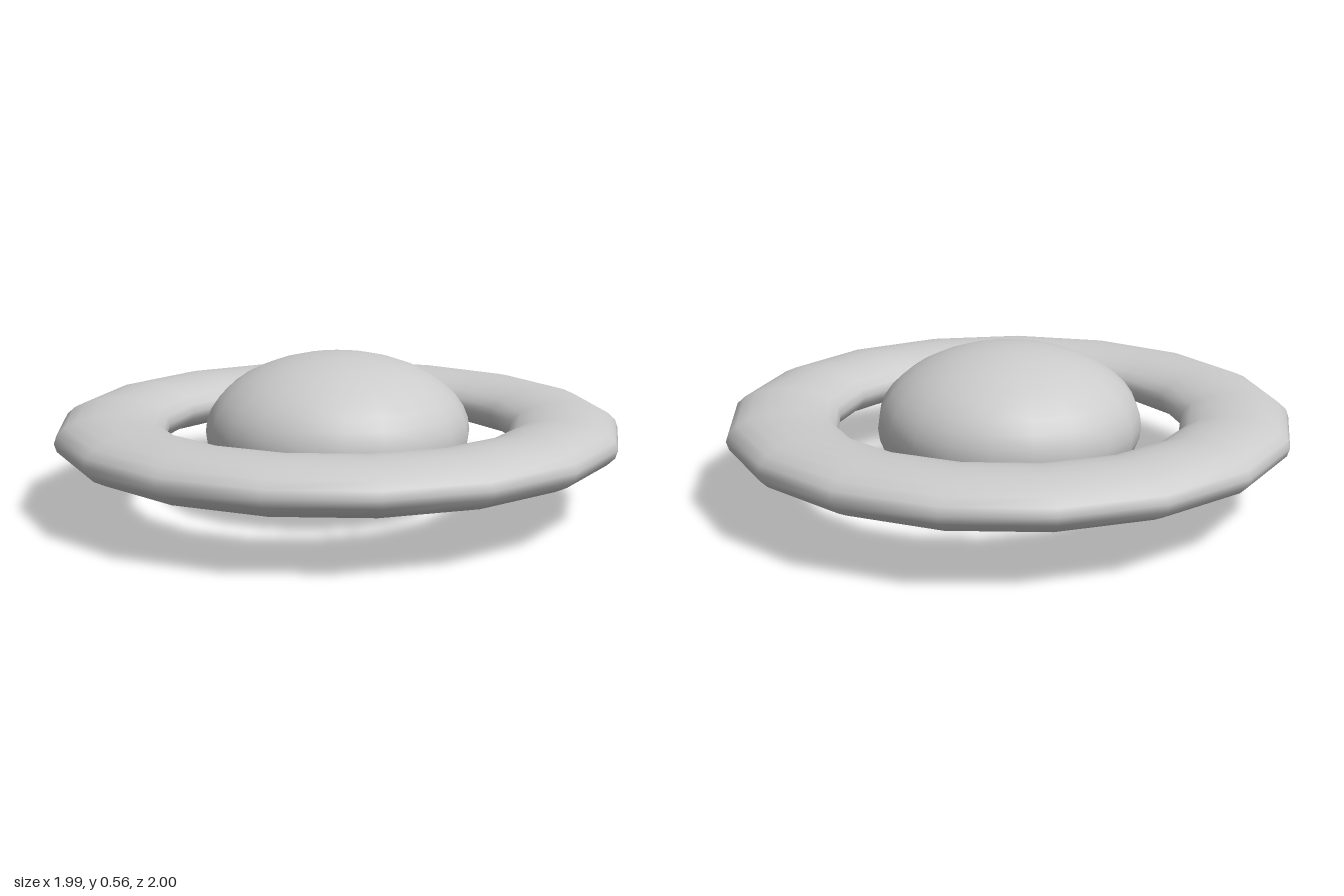
import * as THREE from 'three';

const CENTER_X = -0.0085; // the odd-sided ring has a corner at +x, so its bounds are off-centre
const CENTER_Y = 0.278;

export function createModel() {
  const group = new THREE.Group();
  const material = new THREE.MeshStandardMaterial({ color: 0xcccccc });

  const add = (name, geometry) => {
    const mesh = new THREE.Mesh(geometry, material);
    mesh.name = name;
    mesh.position.set(CENTER_X, CENTER_Y, 0);
    group.add(mesh);
  };

  // Flattened round body in the middle
  add('body', new THREE.SphereGeometry(0.47, 20, 20).scale(1, CENTER_Y / 0.47, 1));

  // Flattened 17-sided ring floating around the body
  const tube = 0.195;
  const ring = new THREE.TorusGeometry(0.809, tube, 20, 17);
  ring.rotateX(Math.PI / 2).scale(1, 0.0925 / tube, 1);
  add('ring', ring);

  return group;
}
